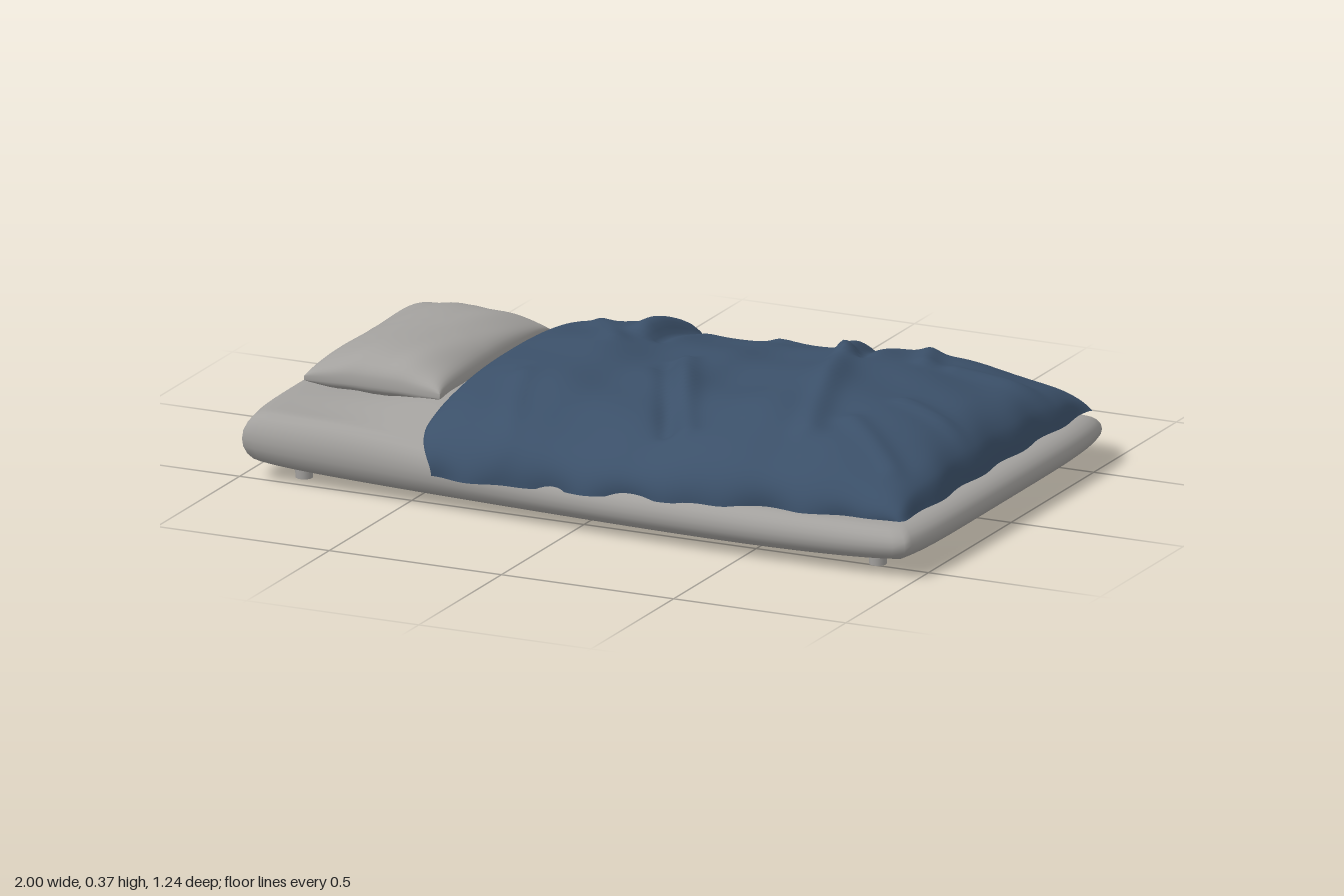
import * as THREE from 'three';
import { mergeVertices } from 'three/addons/utils/BufferGeometryUtils.js';

const { sin, cos, abs, sign, pow, exp, sqrt, max, min, PI } = Math;
const step = (x, a, b) => THREE.MathUtils.smoothstep(x, a, b);
const lerp = THREE.MathUtils.lerp;

// Move every vertex by a rule (x, y, z) -> [x, y, z] and smooth the result
function reshape(geometry, rule) {
  geometry.deleteAttribute('uv');
  geometry.deleteAttribute('normal');
  const g = mergeVertices(geometry);
  const p = g.attributes.position;
  for (let i = 0; i < p.count; i++) p.setXYZ(i, ...rule(p.getX(i), p.getY(i), p.getZ(i)));
  g.computeVertexNormals();
  return g;
}

// Padded mattress: thicker at the head, wider at the foot, with rounded sides
function mattressGeometry() {
  return reshape(new THREE.BoxGeometry(2, 2, 2, 60, 10, 40), (u, v, w) => {
    const a = v * PI / 2;
    const side = 0.055 * (1 - cos(a));
    const halfWidth = lerp(0.545, 0.612, step(u, -1.1, 0.7));
    const x = u * (1 - side) * (1 - 0.022 * pow(w, 6));
    const z = w * (halfWidth - side) * (1 - 0.025 * pow(u, 14));
    const inner = (1 - pow(u, 8)) * (1 - pow(w, 6));
    const top = lerp(0.187, 0.135, step(x, -0.75, 0.1));
    const bottom = 0.03 + 0.014 * pow(u, 4);
    const quilt = 0.004 * (cos(x * 12) + cos(z * 20)) * inner;
    const crown = 0.062 * exp(-pow((x + 0.42) / 0.24, 2)) * (1 - pow(abs(w), 4));
    const y = lerp(bottom, top, (sin(a) + 1) / 2);
    return [x, y + (v > 0 ? (quilt + crown) * v : -quilt * 0.6 * v), z];
  });
}

// Pillow: plump middle, thin pinched rim, corners pulled outward
function pillowGeometry() {
  return reshape(new THREE.BoxGeometry(2, 2, 2, 28, 2, 36), (bu, v, bw) => {
    const u = sin(bu * PI / 2), w = sin(bw * PI / 2);
    const puff = pow((1 - u * u) * (1 - pow(w, 4)), 0.45);
    const crease = 0.006 * sin(9 * u + 5 * w) * pow(abs(u * w), 0.5) * puff;
    const x = u * (0.197 - 0.012 * (1 - w * w));
    const z = w * (0.33 - 0.02 * (1 - u * u));
    return [x, v * (0.006 + (v > 0 ? 0.08 : 0.045) * puff) + crease, z];
  });
}

// Folds in the cover: [ax, az, bx, bz, width, height]
const folds = [
  [-0.18, -0.6, -0.17, -0.22, 0.035, 0.022], [-0.13, -0.6, -0.12, -0.2, 0.02, -0.018],
  [-0.36, -0.35, -0.2, -0.1, 0.03, 0.012], [0.3, -0.58, 0.42, -0.2, 0.03, 0.022],
  [0.42, -0.2, 0.58, 0.35, 0.035, 0.02], [0.36, -0.58, 0.47, -0.2, 0.02, -0.018],
  [0.5, -0.58, 0.62, -0.28, 0.03, 0.02], [0.03, -0.05, 0.26, 0.42, 0.03, 0.018],
  [0.0, 0.0, 0.2, 0.42, 0.025, -0.016], [0.12, -0.45, 0.32, -0.56, 0.03, 0.016],
  [0.7, -0.3, 0.92, -0.38, 0.03, 0.014], [0.72, 0.05, 0.92, 0.1, 0.03, 0.013],
  [-0.3, 0.25, -0.2, 0.56, 0.035, 0.012], [0.66, 0.25, 0.85, 0.4, 0.035, 0.014],
];
function foldHeight(x, z) {
  let h = 0;
  for (const [ax, az, bx, bz, width, height] of folds) {
    const dx = bx - ax, dz = bz - az;
    const t = max(0, min(1, ((x - ax) * dx + (z - az) * dz) / (dx * dx + dz * dz)));
    const d2 = (x - ax - t * dx) ** 2 + (z - az - t * dz) ** 2;
    h += height * exp(-d2 / (width * width));
  }
  return h + 0.004 * sin(17 * x + 6 * z) + 0.003 * sin(23 * z - 11 * x);
}

// Cover: a domed sheet swept along a ridge line, falling to its hem on both sides
function coverGeometry() {
  const ridge = new THREE.SplineCurve([
    [-0.46, 0.25], [-0.455, 0.28], [-0.4, 0.297], [-0.2, 0.322], [-0.06, 0.298], [0.1, 0.303],
    [0.22, 0.295], [0.43, 0.338], [0.56, 0.325], [0.7, 0.31], [0.85, 0.268], [0.92, 0.215], [0.945, 0.14],
  ].map(([x, y]) => new THREE.Vector2(x, y)));
  const sheet = new THREE.PlaneGeometry(2, 2, 130, 90).rotateX(-PI / 2);
  return reshape(sheet, (u, _, v) => {
    const p = ridge.getPointAt((u + 1) / 2);
    const t = v * PI / 2;
    const across = sign(v) * pow(abs(sin(t)), 0.85);
    const rise = pow(max(0, cos(t)), 0.85);
    const frontEdge = 0.583 - 0.055 * step(p.x, 0.25, 0.95);
    const backEdge = 0.582 + 0.034 * step(p.x, -0.1, 0.85);
    const hem = lerp(0.098, 0.132, step(p.x, -0.5, 0.8));
    const ripple = 0.007 * (sin(p.x * 31) + sin(p.x * 19 + v)) * pow(abs(v), 6);
    const z = across * (v > 0 ? frontEdge : backEdge) + sign(v) * ripple;
    const headSlant = 0.05 * step(v, 0.6, 1) * step(-p.x, -0.1, 0.46);
    const footRound = 0.035 * pow(max(0, v), 5) * step(p.x, 0.7, 0.94);
    const x = p.x + headSlant - footRound + 0.006 * sin(z * 26) * step(p.x, 0.8, 0.94);
    const fade = sqrt(rise) * step(0.95 - p.x, 0, 0.12) * step(p.x, -0.46, -0.36);
    const y = hem + max(0, p.y - hem) * rise + foldHeight(x, z) * fade;
    return [x, y, z];
  });
}

export function createModel() {
  const grey = new THREE.MeshStandardMaterial({ color: 0xa3a19e });
  grey.name = 'greyFabric';
  const blue = new THREE.MeshStandardMaterial({ color: 0x3b5069, side: THREE.DoubleSide });
  blue.name = 'blueFabric';

  const model = new THREE.Group();
  model.name = 'bed';
  const add = (name, geometry, material, x = 0, y = 0, z = 0) => {
    const mesh = new THREE.Mesh(geometry, material);
    mesh.name = name;
    mesh.position.set(x, y, z);
    model.add(mesh);
    return mesh;
  };

  add('mattress', mattressGeometry(), grey);
  add('pillow', pillowGeometry(), grey, -0.695, 0.238, 0.005);
  add('cover', coverGeometry(), blue);

  // Short round feet, set wider at the foot end
  const foot = new THREE.CylinderGeometry(0.026, 0.023, 0.06, 16);
  for (const s of [-1, 1]) {
    add('headFoot', foot, grey, -0.845, 0.03, s * 0.432);
    add('tailFoot', foot, grey, 0.845, 0.03, s * 0.482);
  }
  return model;
}
